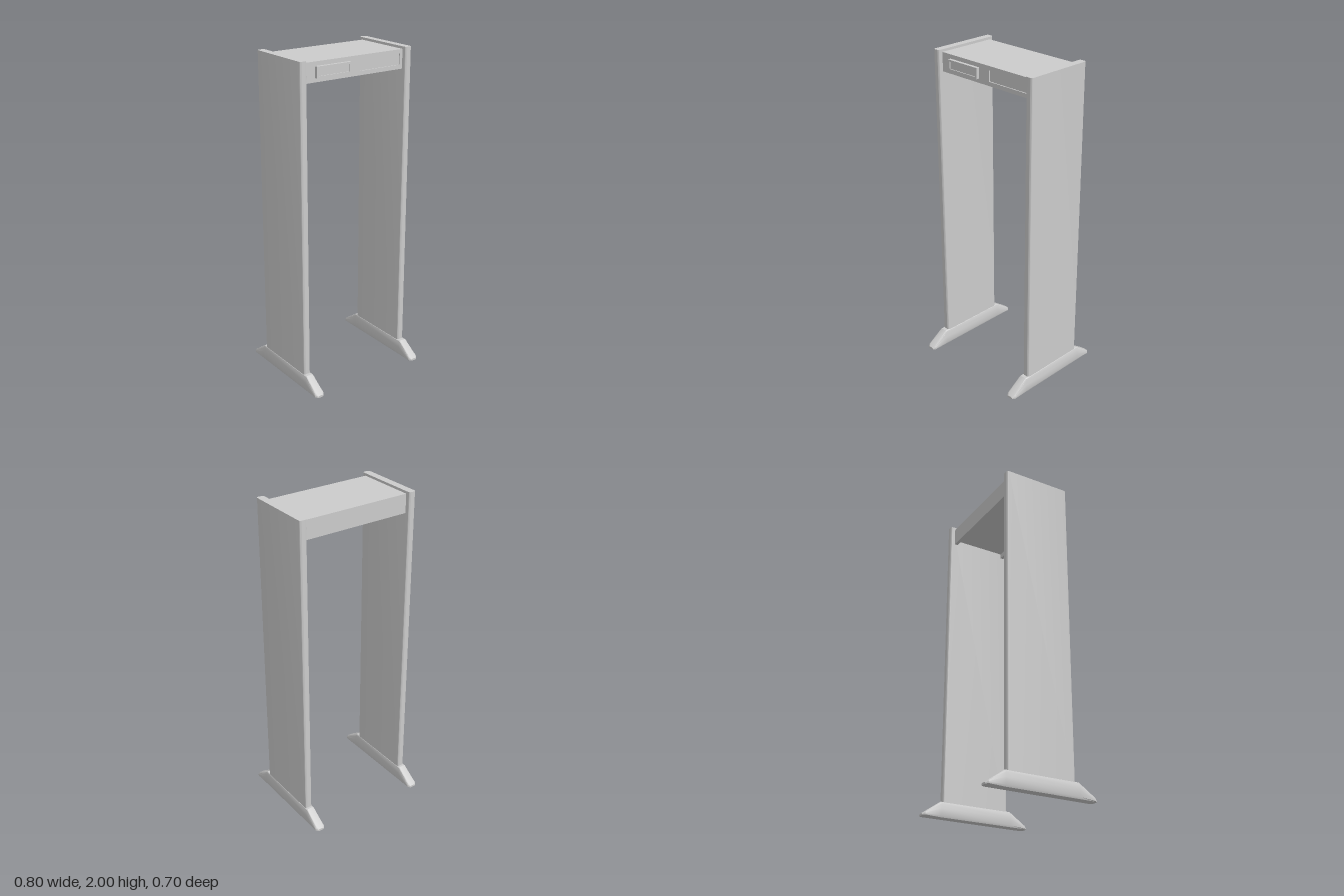
import * as THREE from 'three';
import { toCreasedNormals } from 'three/addons/utils/BufferGeometryUtils.js';

const material = new THREE.MeshStandardMaterial({ color: 0xcccccc });

function addMesh(parent, name, geometry, x = 0, y = 0, z = 0) {
  const mesh = new THREE.Mesh(geometry, material);
  mesh.name = name;
  mesh.position.set(x, y, z);
  parent.add(mesh);
  return mesh;
}

// Box given by its lower and upper corners
function addBox(parent, name, [x0, y0, z0], [x1, y1, z1]) {
  return addMesh(parent, name, new THREE.BoxGeometry(x1 - x0, y1 - y0, z1 - z0),
    (x0 + x1) / 2, (y0 + y1) / 2, (z0 + z1) / 2);
}

function rectangle(PathType, x0, y0, x1, y1) {
  return new PathType([[x0, y0], [x1, y0], [x1, y1], [x0, y1]].map(p => new THREE.Vector2(...p)));
}

// Flat plate with a rectangular opening
function framePlate(outer, inner, depth) {
  const shape = rectangle(THREE.Shape, ...outer);
  shape.holes.push(rectangle(THREE.Path, ...inner));
  return new THREE.ExtrudeGeometry(shape, { depth, bevelEnabled: false });
}

// Upright slab with rounded vertical edges
function panelGeometry(w, d, h, r) {
  const s = new THREE.Shape();
  const x = w / 2, y = d / 2;
  s.moveTo(-x + r, -y);
  s.lineTo(x - r, -y);
  s.absarc(x - r, -y + r, r, -Math.PI / 2, 0);
  s.absarc(x - r, y - r, r, 0, Math.PI / 2);
  s.absarc(-x + r, y - r, r, Math.PI / 2, Math.PI);
  s.absarc(-x + r, -y + r, r, Math.PI, Math.PI * 1.5);
  const g = new THREE.ExtrudeGeometry(s, { depth: h, bevelEnabled: false, curveSegments: 6 });
  g.rotateX(-Math.PI / 2);
  return toCreasedNormals(g, 0.6);
}

// Foot lofted along z from round-shouldered cross-sections
function footGeometry() {
  const half = [[0.235, 0.032, 0.095], [0.337, 0.032, 0.024], [0.352, 0.02, 0.013]]; // z, half width, height
  const stations = [...half.map(([z, w, h]) => [-z, w, h]).reverse(), ...half];
  const positions = [], index = [];
  for (const [z, w, h] of stations) {
    const side = [[w - 0.004, 0], [w, h * 0.12], [w, h * 0.55], [w - 0.004, h * 0.85],
      [w - 0.007, h * 0.96], [w - 0.012, h]];
    const ring = [...side, ...side.map(([x, y]) => [-x, y]).reverse()];
    ring.forEach(([x, y]) => positions.push(x, y, z));
  }
  const n = 12, last = (stations.length - 1) * n;
  for (let i = 0; i < stations.length - 1; i++) {
    for (let j = 0; j < n; j++) {
      const a = i * n + j, b = i * n + (j + 1) % n;
      index.push(a, b, b + n, a, b + n, a + n);
    }
  }
  for (let j = 1; j < n - 1; j++) {
    index.push(0, j + 1, j, last, last + j, last + j + 1);
  }
  const g = new THREE.BufferGeometry();
  g.setAttribute('position', new THREE.Float32BufferAttribute(positions, 3));
  g.setIndex(index);
  return toCreasedNormals(g, 0.6);
}

export function createModel() {
  const model = new THREE.Group();
  model.name = 'walkThroughDetector';

  // Side panels standing on feet
  const panel = panelGeometry(0.046, 0.434, 1.91, 0.013);
  const foot = footGeometry();
  for (const [side, s] of [['left', 1], ['right', -1]]) {
    addMesh(model, side + 'Panel', panel, s * 0.3675, 0.09, -0.004);
    addMesh(model, side + 'Foot', foot, s * 0.3675, 0, 0);
  }

  // Header, hollowed underneath between front and back lips
  const header = new THREE.Group();
  header.name = 'header';
  model.add(header);
  const X = 0.346;
  addBox(header, 'headerBody', [-X, 1.9, -0.192], [X, 1.985, 0.178]);
  addBox(header, 'backLip', [-X, 1.87, -0.192], [X, 1.9, -0.172]);
  addBox(header, 'frontLip', [-X, 1.87, 0.165], [X, 1.9, 0.178]);

  // Front fascia with a shallow recess beside the display
  addMesh(header, 'fascia',
    framePlate([-X, 1.87, X, 1.985], [0.04, 1.895, 0.325, 1.96], 0.007), 0, 0, 0.178);

  // Display housing with a sunken screen
  addMesh(header, 'displayFrame',
    framePlate([-0.275, 1.895, -0.04, 1.96], [-0.262, 1.906, -0.053, 1.949], 0.02), 0, 0, 0.185);
  addBox(header, 'screen', [-0.263, 1.905, 0.184], [-0.052, 1.95, 0.199]);

  return model;
}
